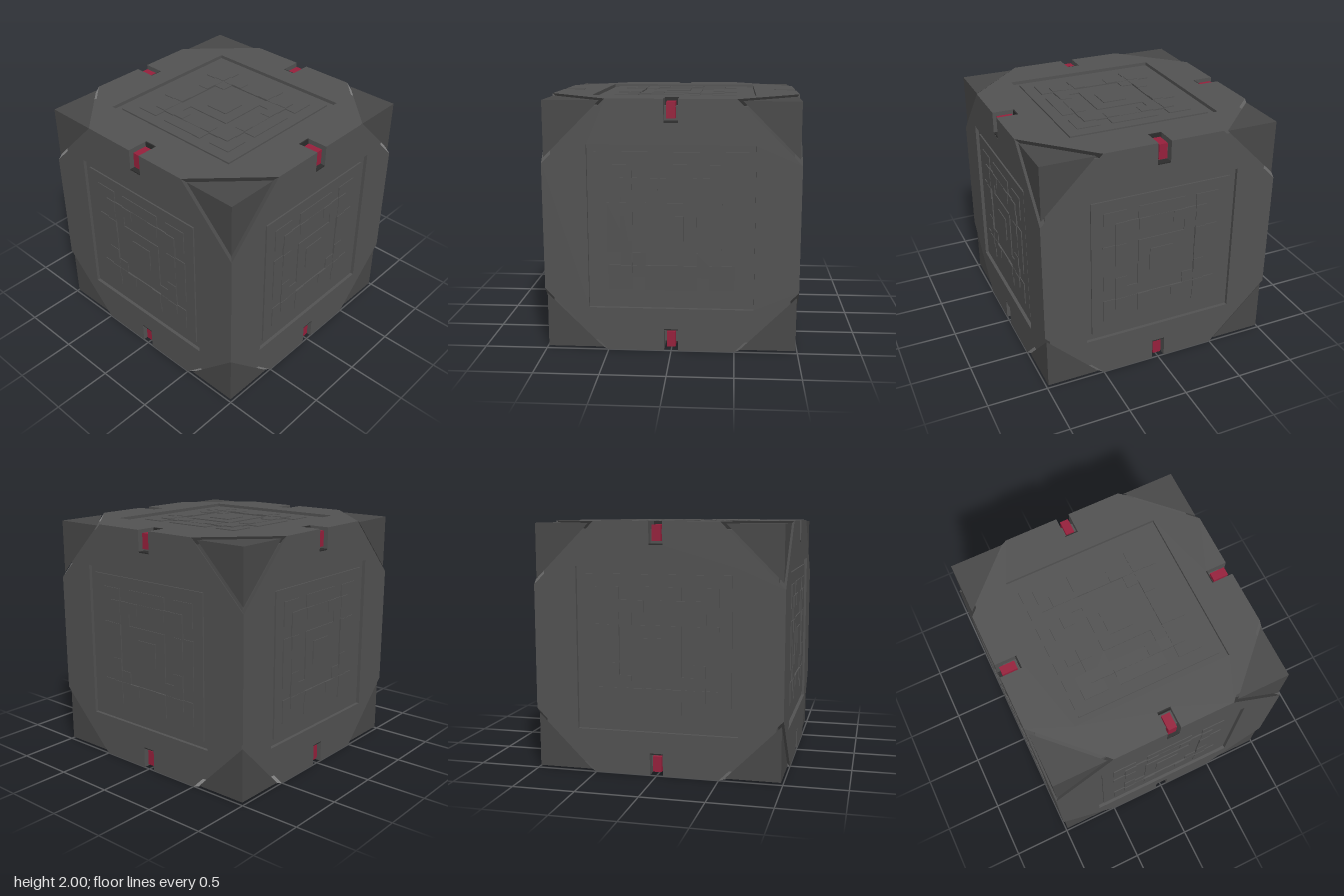
import * as THREE from 'three';
import { ConvexGeometry } from 'three/addons/geometries/ConvexGeometry.js';

const CORE = 0.94; // half size of the inner block
const mat = (color) => new THREE.MeshStandardMaterial({ color, flatShading: true });
const bodyMat = mat(0x525252), capMat = mat(0x484848), darkMat = mat(0x2c2c2c), redMat = mat(0x96203c);

function add(parent, name, geometry, material) {
  const mesh = new THREE.Mesh(geometry, material);
  mesh.name = name;
  parent.add(mesh);
  return mesh;
}

// Box on a face, given by its x and y range and the height of its top
function block(parent, name, x0, x1, y0, y1, top, material = bodyMat) {
  const base = CORE - 0.02;
  const m = add(parent, name, new THREE.BoxGeometry(x1 - x0, y1 - y0, top - base), material);
  m.position.set((x0 + x1) / 2, (y0 + y1) / 2, (top + base) / 2);
}

function squareHole(r) {
  return new THREE.Path([[-r, -r], [-r, r], [r, r], [r, -r]].map(([x, y]) => new THREE.Vector2(x, y)));
}

// Octagonal face plate with edge notches; its back is narrowed so that plates meet in a mitre
function plateGeometry(fourClips) {
  const points = [];
  for (let i = 0; i < 4; i++) {
    const notched = fourClips || i % 2 === 0;
    const side = notched
      ? [[0.5, 1], [0.055, 1], [0.055, 0.82], [-0.055, 0.82], [-0.055, 1], [-0.5, 1]]
      : [[0.5, 1], [-0.5, 1]];
    for (const [x, y] of side) {
      points.push(new THREE.Vector2(x, y).rotateAround(new THREE.Vector2(), i * Math.PI / 2));
    }
  }
  const shape = new THREE.Shape(points);
  shape.holes.push(squareHole(0.65));
  const g = new THREE.ExtrudeGeometry(shape, { depth: 1 - CORE, bevelEnabled: false });
  g.translate(0, 0, CORE);
  const p = g.attributes.position;
  for (let i = 0; i < p.count; i++) {
    if (p.getZ(i) > CORE + 0.01) continue;
    p.setX(i, THREE.MathUtils.clamp(p.getX(i), -CORE, CORE));
    p.setY(i, THREE.MathUtils.clamp(p.getY(i), -CORE, CORE));
  }
  g.computeVertexNormals();
  return g;
}

// Stepped square relief in the middle of a face
function addRelief(face) {
  block(face, 'grooveFloor', -0.65, 0.65, -0.65, 0.65, 0.972);
  block(face, 'reliefPanel', -0.595, 0.595, -0.595, 0.595, 0.985);
  for (let i = 0; i < 4; i++) {
    const quarter = new THREE.Group();
    quarter.name = 'reliefQuarter';
    quarter.rotation.z = i * Math.PI / 2;
    face.add(quarter);
    block(quarter, 'edgeBar', -0.2, 0.2, 0.3, 0.5, 0.992);
    block(quarter, 'cornerSquare', 0.3, 0.495, 0.3, 0.495, 0.992);
    block(quarter, 'ringStrip', -0.3, 0.3, 0.3, 0.395, 0.995);
    block(quarter, 'ringCorner', 0.3, 0.395, 0.3, 0.395, 1);
    block(quarter, 'innerCorner', 0.2, 0.3, 0.2, 0.3, 0.992);
    for (const s of [-1, 1]) {
      block(quarter, 'ringStud', s * 0.15 - 0.05, s * 0.15 + 0.05, 0.3, 0.395, 1);
    }
  }
  block(face, 'centreSquare', -0.2, 0.2, -0.2, 0.2, 0.993);
  block(face, 'centreStud', -0.1, 0.1, -0.1, 0.1, 1);
}

function makeFace(fourClips) {
  const face = new THREE.Group();
  add(face, 'facePlate', plateGeometry(fourClips), bodyMat);
  addRelief(face);
  // Half of each edge clip, completed by the neighbouring face
  for (let i = 0; i < 4; i += fourClips ? 1 : 2) {
    const clip = new THREE.Group();
    clip.name = 'edgeClip';
    clip.rotation.z = i * Math.PI / 2;
    face.add(clip);
    block(clip, 'clipBar', -0.035, 0.035, 0.85, 0.975, 0.975, redMat);
    block(clip, 'clipLip', -0.06, 0.06, 0.818, 0.83, 0.998, darkMat);
  }
  return face;
}

export function createModel() {
  const model = new THREE.Group();
  model.name = 'panelledCube';
  const cube = new THREE.Group();
  cube.name = 'cube';
  cube.position.y = 1;
  model.add(cube);

  add(cube, 'core', new THREE.BoxGeometry(CORE * 2, CORE * 2, CORE * 2), bodyMat);

  // Four sides, then top and bottom
  ['frontFace', 'leftFace', 'backFace', 'rightFace'].forEach((name, i) => {
    const face = makeFace(false);
    face.name = name;
    face.rotation.y = i * Math.PI / 2;
    cube.add(face);
  });
  [['topFace', -1], ['bottomFace', 1]].forEach(([name, s]) => {
    const face = makeFace(true);
    face.name = name;
    face.rotation.x = s * Math.PI / 2;
    cube.add(face);
  });

  // Slightly sunken corner caps, with a narrow groove to the plates
  const c = 0.985, a = 0.545;
  for (const x of [-1, 1]) for (const y of [-1, 1]) for (const z of [-1, 1]) {
    const corners = [[c, c, c], [a, c, c], [c, a, c], [c, c, a]]
      .map((p) => new THREE.Vector3(p[0] * x, p[1] * y, p[2] * z));
    add(cube, 'cornerCap', new ConvexGeometry(corners), capMat);
  }
  return model;
}
